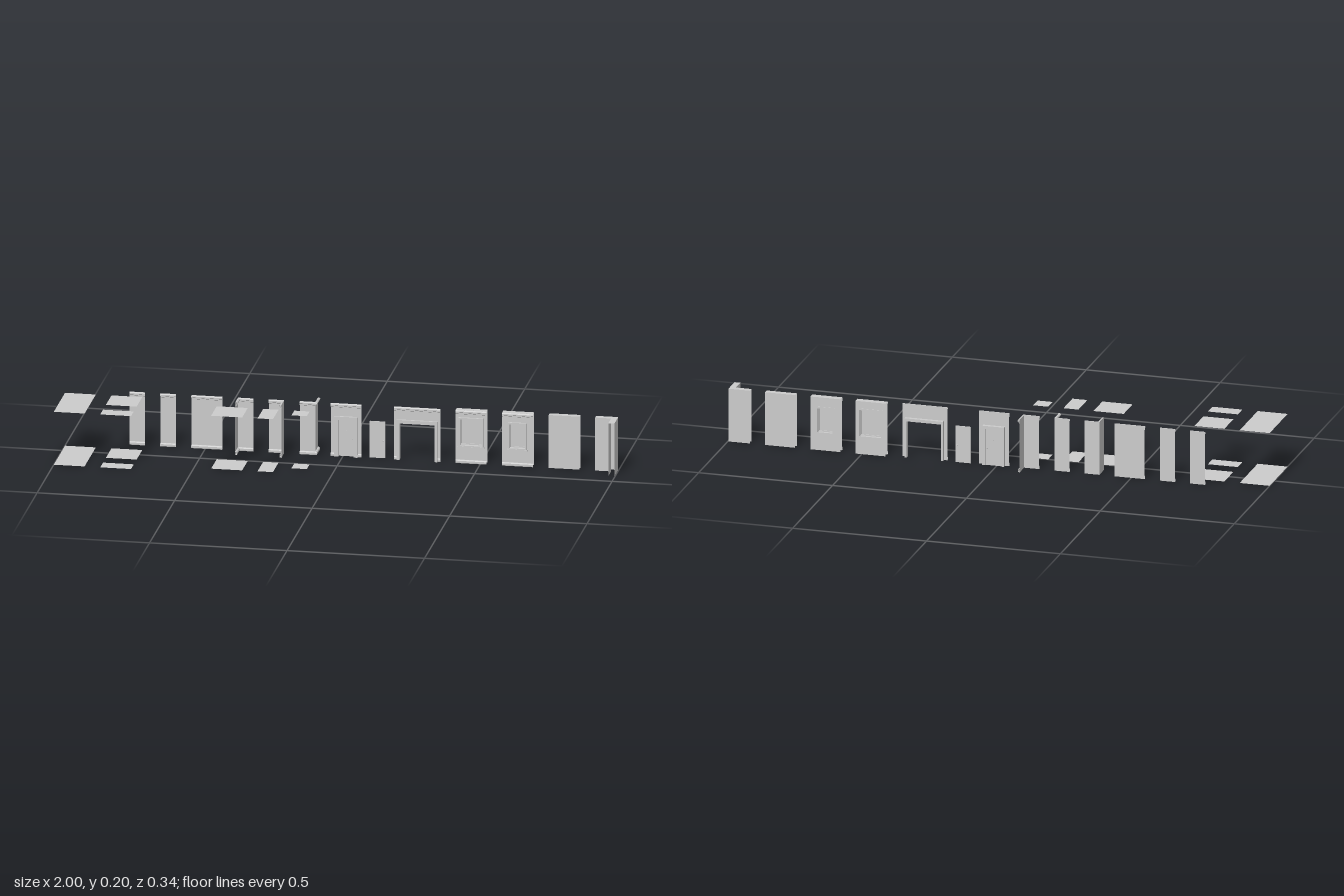
import * as THREE from 'three';

const H = 0.199, U = 0.0562;          // wall height, half-module width
const ZF = -0.113, ZB = -0.134;       // front and back wall planes
const mat = new THREE.MeshStandardMaterial({ color: 0xcccccc, side: THREE.DoubleSide, flatShading: true });

// Trim profiles as [projection, height]
const CORNICE = [[0, 0.184], [0.004, 0.186], [0.004, 0.19], [0.008, 0.192], [0.008, 0.196], [0.004, H], [0, H]];
const BASE = [[0, 0], [0.006, 0.001], [0.007, 0.003], [0.007, 0.010], [0.003, 0.013], [0, 0.013]];
const SHEET = [[0, 0], [0, H]];

function add(group, name, geo, x = 0, y = 0, z = 0) {
  const m = new THREE.Mesh(geo, mat);
  m.name = name;
  m.position.set(x, y, z);
  group.add(m);
  return m;
}

// Sweep an upright profile along a floor path of [x, z] points, with mitred corners
function sweep(path, profile) {
  const normals = path.slice(1).map((p, i) => {
    const dx = p[0] - path[i][0], dz = p[1] - path[i][1], l = Math.hypot(dx, dz);
    return [-dz / l, dx / l];
  });
  const pos = [], index = [], n = profile.length;
  path.forEach((p, i) => {
    const a = normals[Math.max(i - 1, 0)], b = normals[Math.min(i, normals.length - 1)];
    const k = 1 / (1 + a[0] * b[0] + a[1] * b[1]);
    for (const [d, y] of profile) pos.push(p[0] + (a[0] + b[0]) * k * d, y, p[1] + (a[1] + b[1]) * k * d);
  });
  for (let i = 0; i < path.length - 1; i++) {
    for (let j = 0; j < n - 1; j++) {
      const a = i * n + j, b = a + n;
      index.push(a, b, a + 1, b, b + 1, a + 1);
    }
  }
  const g = new THREE.BufferGeometry();
  g.setAttribute('position', new THREE.Float32BufferAttribute(pos, 3));
  g.setIndex(index);
  g.computeVertexNormals();
  return g;
}

function polygon(points) {
  return new THREE.Shape(points.map(([x, y]) => new THREE.Vector2(x, y)));
}
const rect = (x0, x1, y0, y1) => polygon([[x0, y0], [x1, y0], [x1, y1], [x0, y1]]);

// Arch outline: a rectangle w wide with a doorway cut up from the floor
function portal(w, h, hw, hh) {
  return polygon([[-w, 0], [-hw, 0], [-hw, hh], [hw, hh], [hw, 0], [w, 0], [w, h], [-w, h]]);
}

function extrude(shape, depth) {
  return new THREE.ExtrudeGeometry(shape, { depth, bevelEnabled: false });
}

function trims(group, path) {
  add(group, 'cornice', sweep(path, CORNICE));
  add(group, 'baseboard', sweep(path, BASE));
}

// Door leaf with a peephole and a knob on each face
function door(group, x, z) {
  add(group, 'doorLeaf', new THREE.BoxGeometry(0.056, 0.137, 0.003), x, 0.0685, z);
  for (const s of [-1, 1]) {
    add(group, 'doorKnob', new THREE.SphereGeometry(0.0025, 10, 6), x + 0.022, 0.065, z + s * 0.004);
    const hole = add(group, 'peephole', new THREE.CylinderGeometry(0.002, 0.002, 0.002, 10), x, 0.094, z + s * 0.002);
    hole.rotation.x = Math.PI / 2;
  }
}

// Wall with a framed doorway
function doorWall(group, x, halfW, openW, frameW) {
  const top = 0.137;
  add(group, 'wallSheet', new THREE.ShapeGeometry(portal(halfW, H, openW, top)), x, 0, ZF);
  add(group, 'doorFrame', extrude(portal(frameW, 0.148, openW, top), 0.018), x, 0, -0.126);
  add(group, 'frameMoulding', extrude(portal(frameW + 0.002, 0.151, frameW - 0.005, 0.144), 0.008), x, 0, ZF);
  add(group, 'cornice', sweep([[x - halfW, ZF], [x + halfW, ZF]], CORNICE));
  for (const s of [-1, 1]) {
    const ends = [x + s * halfW, x + s * frameW].sort((a, b) => a - b);
    add(group, 'baseboard', sweep(ends.map(e => [e, ZF]), BASE));
  }
}

// Double-sided wall with a framed window
function windowWall(group, x, w, y0, y1) {
  for (const z of [ZF, ZB]) {
    const s = rect(-U, U, 0, H);
    s.holes.push(rect(-w, w, y0, y1));
    add(group, 'wallSheet', new THREE.ShapeGeometry(s), x, 0, z);
  }
  add(group, 'wallTop', new THREE.BoxGeometry(2 * U, 0.0005, ZF - ZB), x, H, (ZF + ZB) / 2);
  trims(group, [[x - U, ZF], [x + U, ZF]]);
  const frame = rect(-w, w, y0, y1);
  frame.holes.push(rect(-w + 0.006, w - 0.006, y0 + 0.006, y1 - 0.006));
  add(group, 'windowFrame', extrude(frame, 0.030), x, 0, -0.136);
  const sash = rect(-w + 0.006, w - 0.006, y0 + 0.006, y1 - 0.006);
  sash.holes.push(rect(-w + 0.010, w - 0.010, y0 + 0.010, y1 - 0.010));
  add(group, 'windowSash', extrude(sash, 0.006), x, 0, -0.126);
  add(group, 'windowPane', new THREE.ShapeGeometry(rect(-w + 0.008, w - 0.008, y0 + 0.008, y1 - 0.008)), x, 0, -0.123);
  add(group, 'windowSill', new THREE.BoxGeometry(2 * w + 0.004, 0.004, 0.008), x, y0, -0.109);
}

export function createModel() {
  const root = new THREE.Group();
  const part = name => {
    const g = new THREE.Group();
    g.name = name;
    root.add(g);
    return g;
  };

  // Floor and ceiling tiles: [x0, x1, z0, z1]
  const tiles = [
    [-1, -0.888, -0.057, 0.168], [-0.831, -0.719, -0.057, 0.056], [-0.831, -0.719, 0.112, 0.168],
    [-0.438, -0.325, 0, 0.112], [-0.269, -0.213, 0, 0.112], [-0.156, -0.1, 0, 0.056],
  ];
  for (const [name, y] of [['floorTile', 0], ['ceilingTile', H]]) {
    for (const [x0, x1, z0, z1] of tiles) {
      const t = add(root, name, new THREE.PlaneGeometry(x1 - x0, z1 - z0), (x0 + x1) / 2, y, (z0 + z1) / 2);
      t.rotation.x = y ? Math.PI / 2 : -Math.PI / 2;
    }
  }

  // Plain trimmed walls, two inner corners and an outer corner
  const walls = {
    narrowWallA: [[-0.775, ZF], [-0.719, ZF]],
    narrowWallB: [[-0.663, ZF], [-0.607, ZF]],
    wideWall: [[-0.55, ZF], [-0.438, ZF]],
    innerCornerA: [[-0.381, -0.057], [-0.381, ZF], [-0.325, ZF]],
    innerCornerB: [[-0.269, ZF], [-0.213, ZF], [-0.213, -0.057]],
    outerCorner: [[-0.156, ZF], [-0.1, ZF], [-0.1, -0.168]],
  };
  for (const [name, path] of Object.entries(walls)) {
    const g = part(name);
    add(g, 'wallSheet', sweep(path, SHEET));
    trims(g, path);
  }

  // Doorways and the loose door
  const dw = part('doorWall');
  doorWall(dw, 0.0125, U, 0.028, 0.041);
  door(dw, 0.0125, -0.12);
  door(part('looseDoor'), 0.125, -0.12);
  doorWall(part('wideDoorway'), 0.271, 0.084, 0.064, 0.072);

  // Window walls
  windowWall(part('largeWindowWall'), 0.467, 0.046, 0.062, 0.172);
  windowWall(part('smallWindowWall'), 0.636, 0.034, 0.062, 0.164);

  // Untrimmed double walls: a straight one and a corner
  const plain = {
    plainDoubleWall: [[[0.749, ZF], [0.861, ZF]], [[0.749, ZB], [0.861, ZB]]],
    plainDoubleCorner: [[[0.918, ZF], [0.976, ZF], [0.976, -0.057]], [[0.918, ZB], [0.998, ZB], [0.998, -0.057]]],
  };
  for (const [name, [front, back]] of Object.entries(plain)) {
    const g = part(name);
    add(g, 'frontSheet', sweep(front, SHEET));
    add(g, 'backSheet', sweep([...back].reverse(), SHEET));
    const cap = polygon([...front, ...[...back].reverse()].map(([x, z]) => [x, -z]));
    add(g, 'wallTop', new THREE.ShapeGeometry(cap), 0, H, 0).rotation.x = -Math.PI / 2;
  }
  return root;
}
